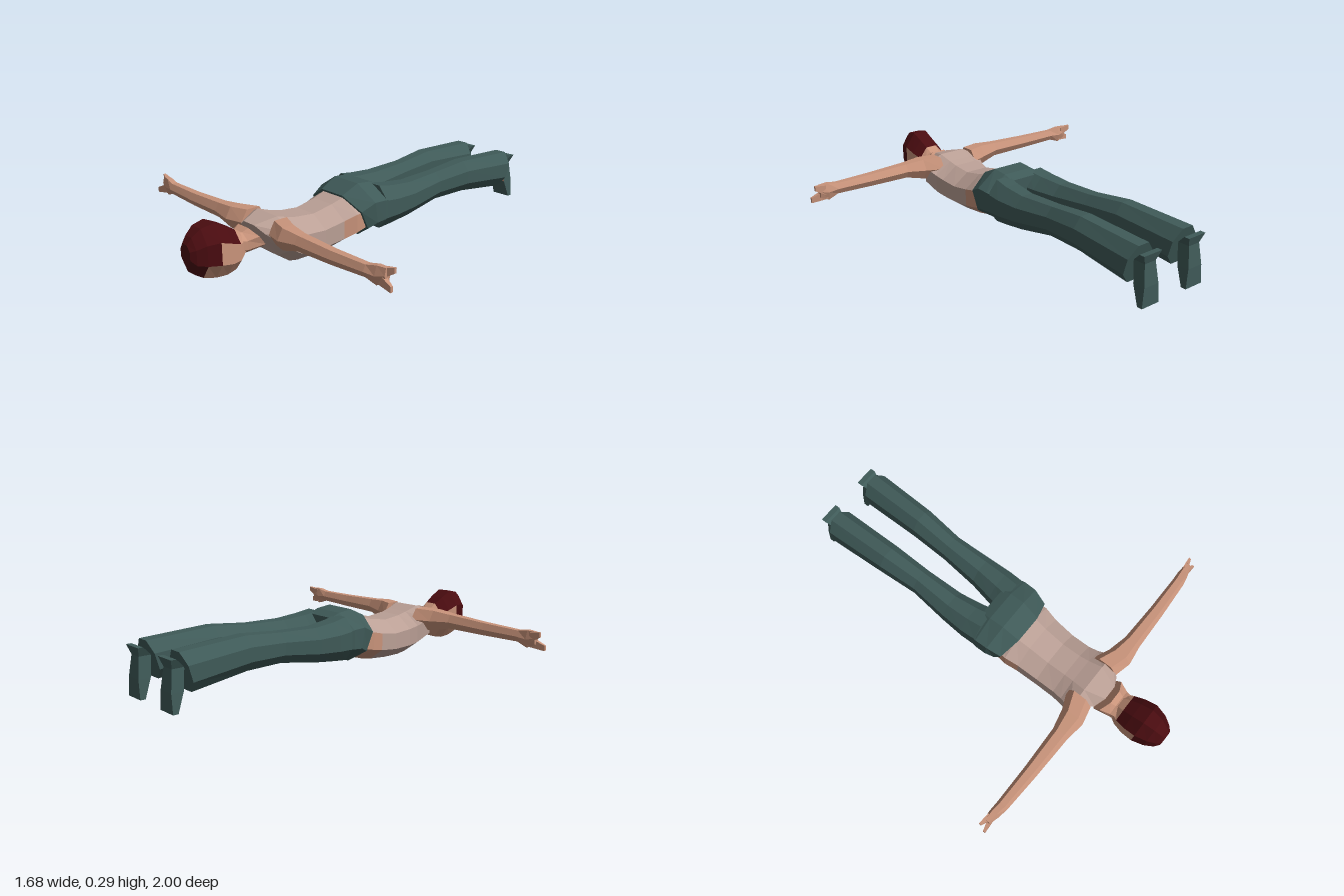
import * as THREE from 'three';

const CX = 0.025; // body midline
const mat = (name, color) => {
  const m = new THREE.MeshStandardMaterial({ color, flatShading: true });
  m.name = name;
  return m;
};

// Lofts n-sided rings along an axis. Section: [t, u, v, ru, rv, tilt]
// axis z: u = x, v = y; axis x: u = y, v = z; axis y: u = z, v = x.
// pick(i, j) gives the material index of side j in segment i.
function loft(name, axis, n, sections, mats, pick = () => 0) {
  const rows = [...sections].sort((a, b) => a[0] - b[0]);
  const k = 1 / Math.cos(Math.PI / n);
  const place = (t, u, v) =>
    axis === 'z' ? [u, v, t] : axis === 'x' ? [t, u, v] : [v, t, u];
  const rings = rows.map(([t, u, v, ru, rv, tilt = 0]) =>
    Array.from({ length: n }, (_, j) => {
      const a = ((j + 0.5) / n) * Math.PI * 2;
      return place(t + tilt * Math.sin(a), u + ru * k * Math.cos(a), v + rv * k * Math.sin(a));
    }));
  const list = Array.isArray(mats) ? mats : [mats];
  const buckets = list.map(() => []);
  for (let i = 0; i < rings.length - 1; i++) {
    for (let j = 0; j < n; j++) {
      const q = (j + 1) % n;
      const [a, b, c, d] = [rings[i][j], rings[i][q], rings[i + 1][q], rings[i + 1][j]];
      buckets[pick(i, j)].push(a, b, c, a, c, d);
    }
  }
  // end caps
  const last = rings.length - 1;
  for (let j = 1; j < n - 1; j++) {
    buckets[pick(0, j)].push(rings[0][0], rings[0][j + 1], rings[0][j]);
    buckets[pick(last, j)].push(rings[last][0], rings[last][j], rings[last][j + 1]);
  }
  const geo = new THREE.BufferGeometry();
  geo.setAttribute('position', new THREE.Float32BufferAttribute(buckets.flat(2), 3));
  let start = 0;
  buckets.forEach((b, i) => {
    geo.addGroup(start, b.length, i);
    start += b.length;
  });
  geo.computeVertexNormals();
  const mesh = new THREE.Mesh(geo, list);
  mesh.name = name;
  return mesh;
}

// Section of the body given by its bottom and top heights
const sec = (z, x, y0, y1, rx, tilt = 0) => [z, x, (y0 + y1) / 2, rx, (y1 - y0) / 2, tilt];

export function createModel() {
  const skin = mat('skin', 0xc8937a);
  const shirt = mat('pale shirt', 0xbba096);
  const cloth = mat('trouser cloth', 0x3f5a58);
  const hair = mat('dark red hair', 0x4a0c10);
  const model = new THREE.Group();
  model.name = 'lyingFigure';

  // Torso, bare below the ribs
  model.add(loft('torso', 'z', 8, [
    sec(0.09, CX, 0.05, 0.23, 0.16),
    sec(0.17, CX, 0.025, 0.24, 0.165),
    sec(0.24, CX, 0.01, 0.22, 0.152),
    sec(0.35, CX, 0, 0.2, 0.145),
    sec(0.45, CX, 0, 0.21, 0.145),
    sec(0.5, CX, 0.01, 0.222, 0.152),
    sec(0.57, CX, 0.06, 0.245, 0.172),
    sec(0.635, CX, 0.105, 0.22, 0.09, 0.04),
  ], [shirt, skin], (i, j) => (i < 2 && j > 2 ? 1 : 0)));

  // Neck
  model.add(loft('neck', 'z', 8, [
    sec(0.665, CX, 0.11, 0.215, 0.088, 0.04),
    sec(0.73, CX, 0.1, 0.2, 0.07),
    sec(0.79, CX, 0.1, 0.21, 0.06),
  ], skin));

  // Head with the face turned down; hair over the back and crown
  model.add(loft('head', 'z', 8, [
    sec(0.735, CX, 0.09, 0.2, 0.06),
    sec(0.77, CX, 0.04, 0.225, 0.075),
    sec(0.82, CX, 0.03, 0.255, 0.088),
    sec(0.88, CX, 0.035, 0.283, 0.093),
    sec(0.94, CX, 0.05, 0.272, 0.077),
    sec(0.98, CX, 0.075, 0.24, 0.055),
    sec(1.0, CX, 0.12, 0.21, 0.035),
  ], [skin, hair], (i, j) => {
    if (i >= 5) return 1;
    if (j <= 2) return i >= 1 ? 1 : 0;
    if (j === 3 || j === 7) return i >= 3 ? 1 : 0;
    return j !== 5 && i >= 4 ? 1 : 0;
  }));

  // Seat of the trousers
  model.add(loft('trouserSeat', 'z', 8, [
    sec(-0.04, CX, 0.07, 0.265, 0.185),
    sec(0.01, CX, 0.055, 0.285, 0.195),
    sec(0.07, CX, 0.045, 0.293, 0.193, 0.02),
    sec(0.13, CX, 0.03, 0.25, 0.175, 0.055),
  ], cloth));

  for (const s of [1, -1]) {
    const side = s > 0 ? 'left' : 'right';
    const lx = (off) => CX + s * off;

    // Trouser leg
    model.add(loft(side + 'TrouserLeg', 'z', 8, [
      sec(-0.92, lx(0.135), 0.085, 0.265, 0.074, -0.028),
      sec(-0.6, lx(0.127), 0.12, 0.28, 0.068),
      sec(-0.4, lx(0.117), 0.118, 0.26, 0.06),
      sec(-0.2, lx(0.118), 0.085, 0.252, 0.073),
      sec(-0.08, lx(0.11), 0.07, 0.262, 0.086),
      sec(0.0, lx(0.1), 0.06, 0.275, 0.092),
    ], cloth));

    // Foot with toes pointing down, skin on the instep
    model.add(loft(side + 'Foot', 'y', 4, [
      [0.01, -0.985, lx(0.135), 0.013, 0.05],
      [0.1, -0.968, lx(0.135), 0.03, 0.042],
      [0.2, -0.955, lx(0.135), 0.03, 0.032],
      [0.243, -0.985, lx(0.135), 0.013, 0.052],
    ], [cloth, skin], (i, j) => (j === 3 && i === 1 ? 1 : 0)));

    // Arm and hand
    const ax = (t) => s * t + CX * (1 - t / 0.84);
    const limb = (rows) => rows.map(([t, ...r]) => [ax(t), ...r]);
    model.add(loft(side + 'Arm', 'x', 6, limb([
      [0.1, 0.185, 0.57, 0.055, 0.06],
      [0.19, 0.185, 0.6, 0.052, 0.052],
      [0.29, 0.193, 0.605, 0.036, 0.036],
      [0.5, 0.19, 0.605, 0.031, 0.03],
      [0.7, 0.192, 0.6, 0.027, 0.025],
      [0.755, 0.188, 0.594, 0.042, 0.022],
      [0.8, 0.198, 0.59, 0.032, 0.014],
    ]), skin));
    model.add(loft(side + 'Fingers', 'x', 4, limb([
      [0.77, 0.2, 0.59, 0.025, 0.015],
      [0.83, 0.222, 0.576, 0.012, 0.006],
    ]), skin));
    model.add(loft(side + 'Thumb', 'x', 4, limb([
      [0.76, 0.178, 0.592, 0.024, 0.015],
      [0.84, 0.155, 0.606, 0.013, 0.006],
    ]), skin));
  }
  return model;
}
